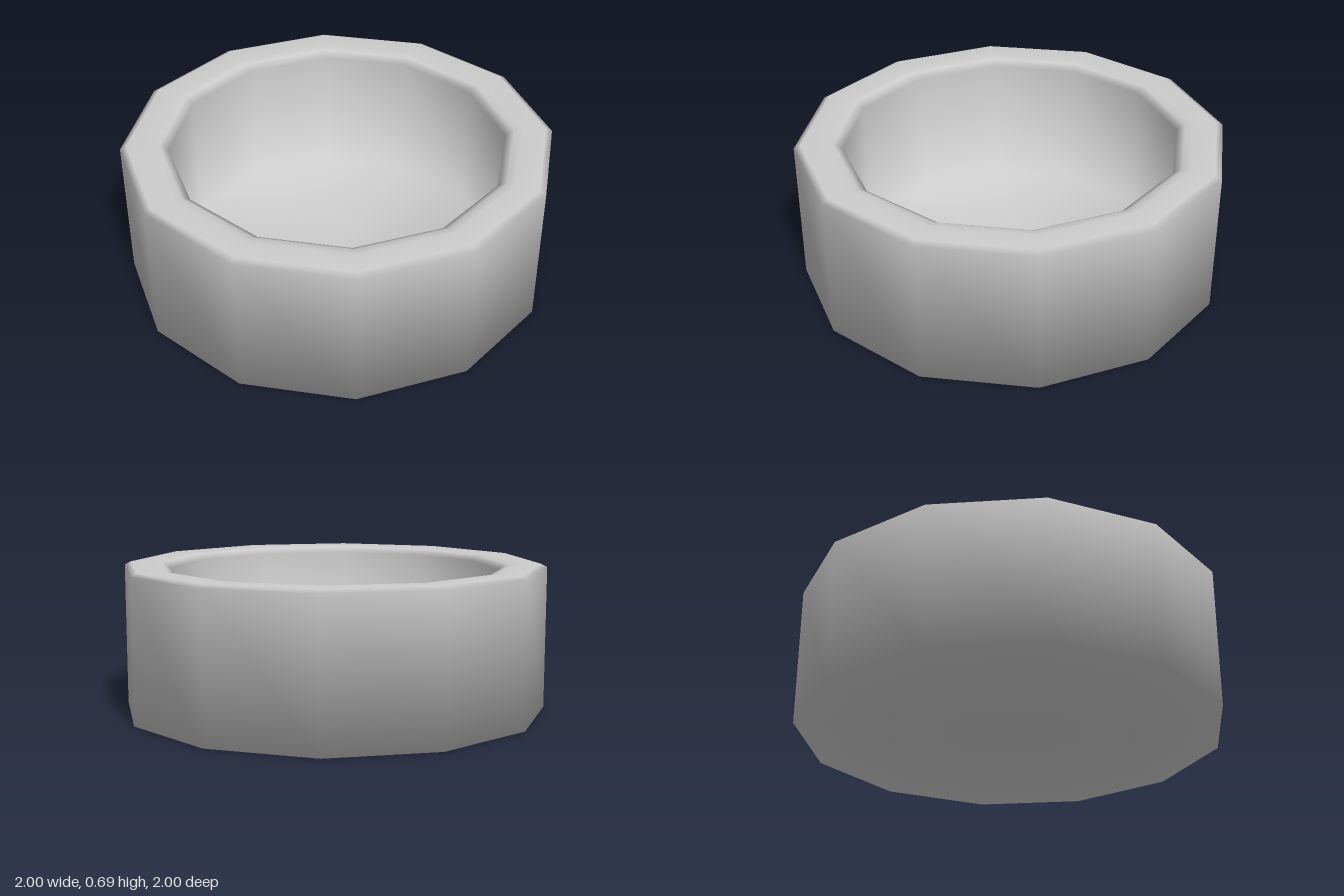
import * as THREE from 'three';

// Shallow twelve-sided bowl with thick walls and a softened rim
export function createModel() {
  const group = new THREE.Group();
  group.name = 'bowl';
  const material = new THREE.MeshStandardMaterial({ color: 0xcccccc });

  // Profile runs from the underside centre, up the outside, over the rim and down to the inner floor
  const profile = [
    [0, 0], [1, 0],                       // underside
    [1, 0.67], [0.97, 0.685],             // outer wall and bevel
    [0.86, 0.685], [0.82, 0.68],          // flat rim
    [0.78, 0.655], [0.78, 0.03],          // inner bevel and wall
    [0, 0.03],                            // floor
  ].map(([r, y]) => new THREE.Vector2(r, y));

  const shell = new THREE.Mesh(new THREE.LatheGeometry(profile, 12), material);
  shell.name = 'bowlShell';
  group.add(shell);
  return group;
}
